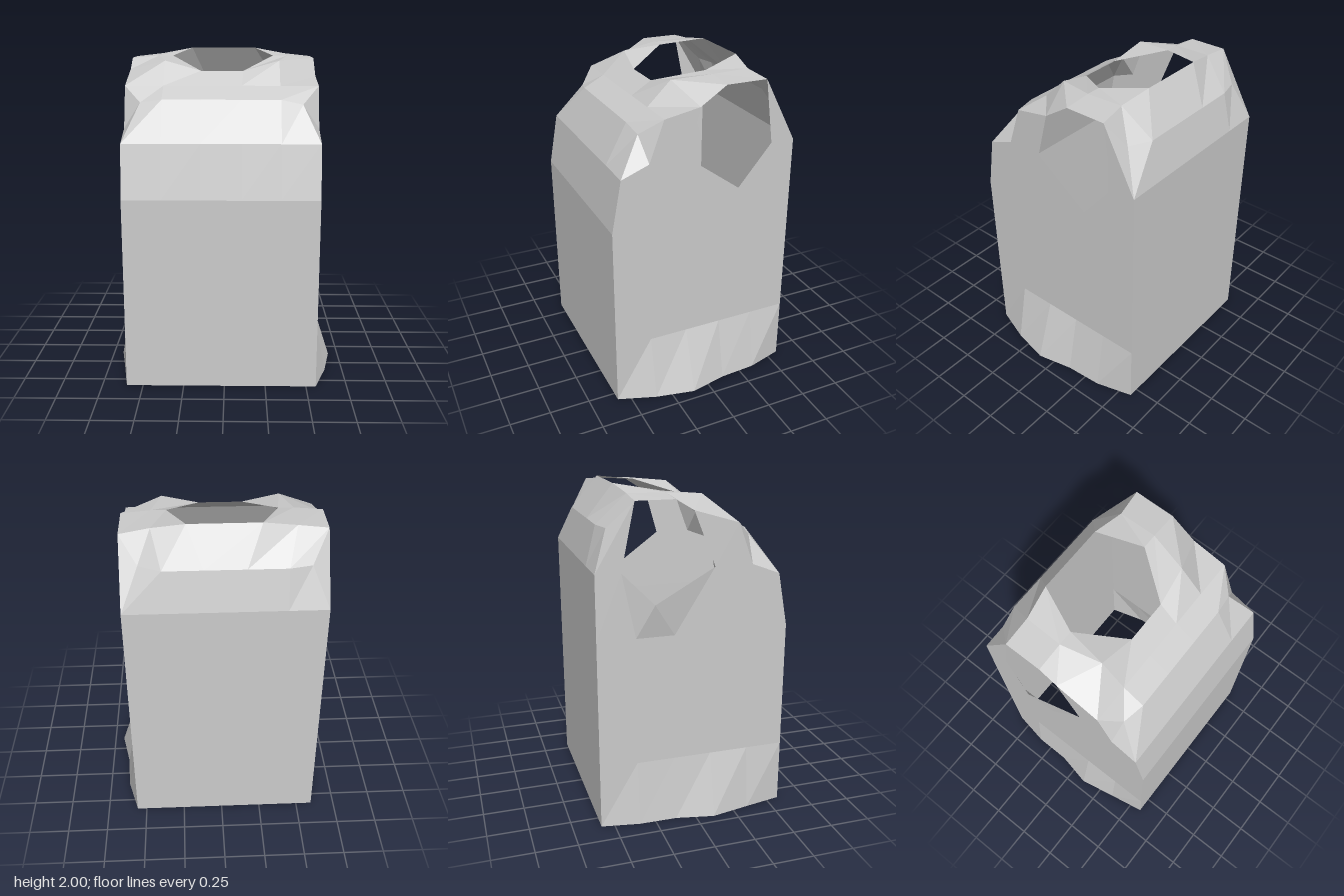
import * as THREE from 'three';

const FABRIC = new THREE.MeshStandardMaterial({ color: 0xcccccc, flatShading: true, side: THREE.DoubleSide });

// Collects faces (3 or 4 corners, counter-clockwise from outside) into one mesh
function panel(name, faces) {
  const pos = [];
  for (const [a, b, c, d] of faces) {
    pos.push(...a, ...b, ...c);
    if (d) pos.push(...a, ...c, ...d);
  }
  const geo = new THREE.BufferGeometry();
  geo.setAttribute('position', new THREE.Float32BufferAttribute(pos, 3));
  geo.computeVertexNormals();
  const mesh = new THREE.Mesh(geo, FABRIC);
  mesh.name = name;
  return mesh;
}

// Faces between neighbouring rows of points; skip(r, c) leaves an opening
function grid(rows, skip = () => false) {
  const faces = [];
  for (let r = 0; r < rows.length - 1; r++)
    for (let c = 0; c < rows[r].length - 1; c++)
      if (!skip(r, c)) faces.push([rows[r][c], rows[r][c + 1], rows[r + 1][c + 1], rows[r + 1][c]]);
  return faces;
}

const COLS = [0.58, 0.35, 0.11, -0.12, -0.35, -0.58]; // side columns, front to back

// The two sides differ a little, like hand-cut cloth
const LEFT = {
  sign: 1, x: 0.56, hem: [0.56, 0.64, 0.69, 0.64, 0.625, 0.56],
  underarm: [0.56, 1.305, -0.22], armTop: [0.56, 1.84, 0.04],
  frontDent: [0.46, 1.70, 0.375], backDent: [0.46, 1.79, -0.455], shoulder: [0.56, 1.945, -0.375],
};
const RIGHT = {
  sign: -1, x: -0.6, hem: [-0.6, -0.643, -0.69, -0.643, -0.64, -0.6],
  underarm: [-0.645, 1.37, -0.25], armTop: [-0.6, 1.88, -0.01],
  frontDent: [-0.5, 1.71, 0.36], backDent: [-0.5, 1.79, -0.49], shoulder: [-0.6, 1.945, -0.35],
};

// Side wall with flared hem, armhole and the corner folds
function sidePanel(s) {
  const p = (y, z) => [s.x, y, z];
  const top = [p(1.49, 0.52), p(1.555, 0.35), p(1.555, 0.12), s.underarm, p(1.555, -0.43), p(1.555, -0.58)];
  const chest = p(1.8, 0.26);
  const faces = grid([
    COLS.map((z, i) => [s.hem[i], 0, z]),
    COLS.map(z => p(0.39, z)),
    COLS.map(z => p(1.17, z)),
    top,
  ]);
  faces.push(
    [top[1], top[2], s.armTop, chest],   // in front of the armhole
    [top[4], top[5], s.shoulder],        // behind the armhole
    [top[0], top[1], s.frontDent],       // front corner fold
    [s.frontDent, top[1], chest],
    [top[5], s.backDent, s.shoulder],    // back corner fold
  );
  if (s.sign < 0) faces.forEach(f => f.reverse());
  return faces;
}

// Front, shoulders and back as one strip of rows running over the top
function torsoPanel() {
  const AXIS = -0.02;
  // edge, shoulder and neck points of the left half; the right half is mirrored
  const row = (edge, shoulder, neck) => {
    const m = ([x, y, z]) => [2 * AXIS - x, y, z];
    return [edge(RIGHT), m(shoulder), m(neck), neck, shoulder, edge(LEFT)];
  };
  const straight = (y, z, edge = s => [s.x, y, z]) => row(edge, [0.33, y, z], [0.1, y, z]);
  const rows = [
    straight(0, 0.58),
    straight(1.17, 0.58),
    straight(1.49, 0.52),
    straight(1.73, 0.39, s => s.frontDent),
    straight(1.8, 0.26),
    row(s => s.armTop, [0.33, 1.94, 0.115], [0.11, 1.88, 0.14]),
    row(s => [s.x, 1.945, -0.12], [0.39, 1.96, -0.12], [0.3, 1.96, -0.12]),
    row(s => s.shoulder, [0.385, 1.965, -0.35], [0.19, 2, -0.38]),
    straight(1.79, -0.52, s => s.backDent),
    straight(1.555, -0.58),
    straight(0, -0.58),
  ];
  // the middle cells of the shoulder rows are the neck opening
  return grid(rows, (r, c) => c === 2 && (r === 5 || r === 6));
}

export function createModel() {
  const group = new THREE.Group();
  group.name = 'sleevelessTop';
  group.add(
    panel('frontAndBack', torsoPanel()),
    panel('leftSide', sidePanel(LEFT)),
    panel('rightSide', sidePanel(RIGHT)),
  );
  return group;
}
